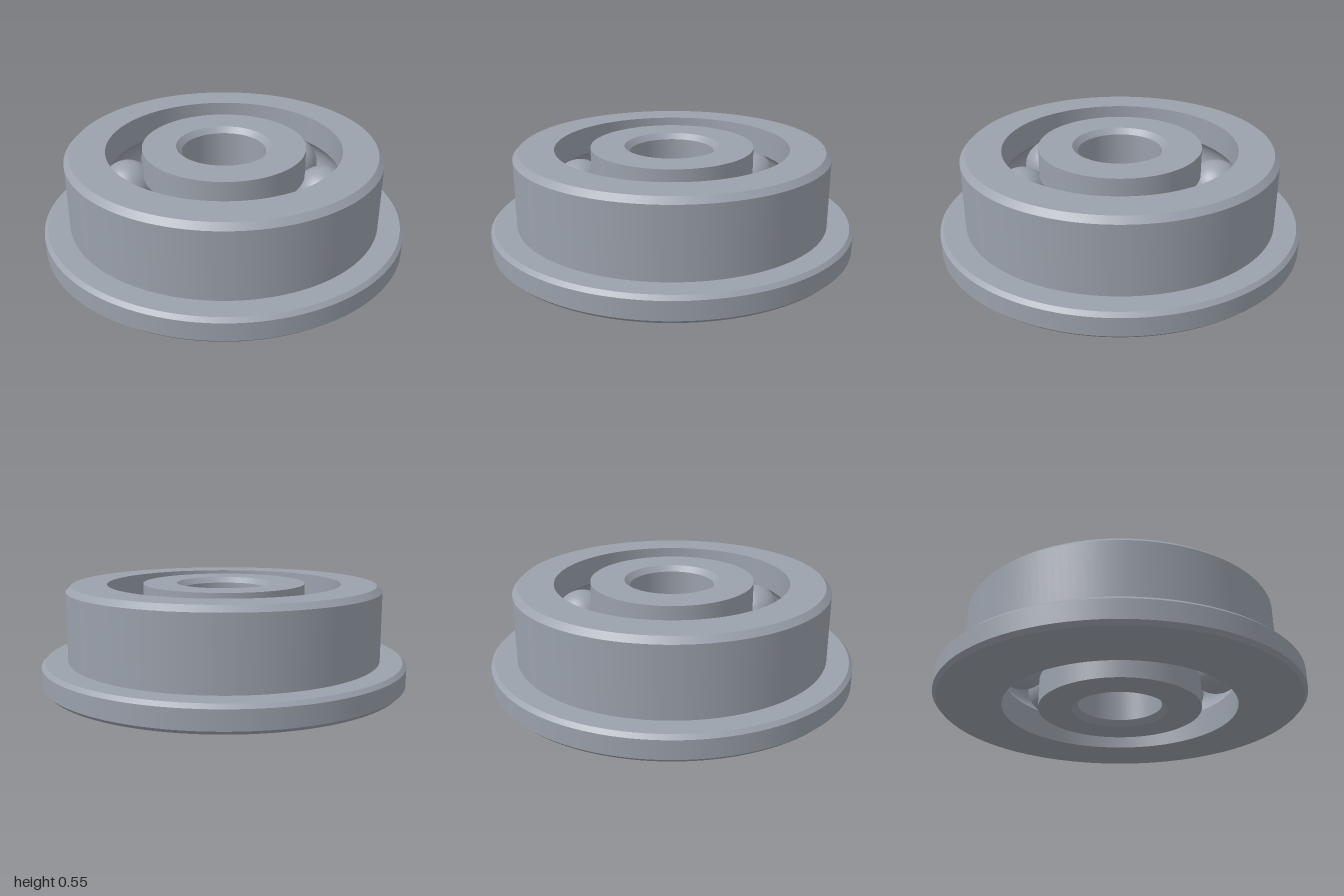
import * as THREE from 'three';
import { mergeGeometries } from 'three/addons/utils/BufferGeometryUtils.js';

const HEIGHT = 0.545;
const MID = HEIGHT / 2;
const PITCH = 0.543; // radius of the circle of ball centres
const BALL = 0.15;
const SEGMENTS = 128;

// Lathe a closed profile made of smooth runs; the corners between runs stay sharp.
function turned(runs) {
  return mergeGeometries(runs.map((run) =>
    new THREE.LatheGeometry(run.map(([r, y]) => new THREE.Vector2(r, y)), SEGMENTS)));
}

// Split a list of corners into straight runs.
const straight = (corners) => corners.slice(1).map((p, i) => [corners[i], p]);

// Ball groove as an arc cut into the wall at the given radius.
function groove(wall) {
  const side = Math.sign(wall - PITCH);
  const half = Math.acos(Math.abs(wall - PITCH) / BALL);
  const points = [];
  for (let i = 0; i <= 20; i++) {
    const a = side * half * (1 - i / 10);
    points.push([PITCH + side * BALL * Math.cos(a), MID + BALL * Math.sin(a)]);
  }
  return points;
}

export function createModel() {
  const model = new THREE.Group();
  model.name = 'flangedBallBearing';
  const steel = new THREE.MeshStandardMaterial({ color: 0x9aa1ab });
  steel.name = 'steel';

  const add = (name, geometry) => {
    const mesh = new THREE.Mesh(geometry, steel);
    mesh.name = name;
    model.add(mesh);
    return mesh;
  };

  // Outer ring with chamfered flange, body and inner groove
  const outerGroove = groove(0.64);
  add('outerRing', turned([
    ...straight([
      [0.64, 0], [0.98, 0], [1, 0.02], [1, 0.12], [0.98, 0.14], [0.86, 0.14],
      [0.86, 0.515], [0.83, HEIGHT], [0.64, HEIGHT], outerGroove[0],
    ]),
    outerGroove,
    [outerGroove[20], [0.64, 0]],
  ]));

  // Inner ring with chamfered bore and outer groove
  const innerGroove = groove(0.445);
  add('innerRing', turned([
    [[0.445, 0], innerGroove[0]],
    innerGroove,
    ...straight([
      innerGroove[20], [0.445, HEIGHT], [0.26, HEIGHT], [0.23, HEIGHT - 0.03],
      [0.23, 0.03], [0.26, 0], [0.445, 0],
    ]),
  ]));

  // Eight balls between the rings
  const ballGeometry = new THREE.SphereGeometry(BALL, 40, 28);
  for (let i = 0; i < 8; i++) {
    const a = 0.2 + (i * Math.PI) / 4;
    add('ball' + (i + 1), ballGeometry)
      .position.set(PITCH * Math.cos(a), MID, PITCH * Math.sin(a));
  }
  return model;
}
